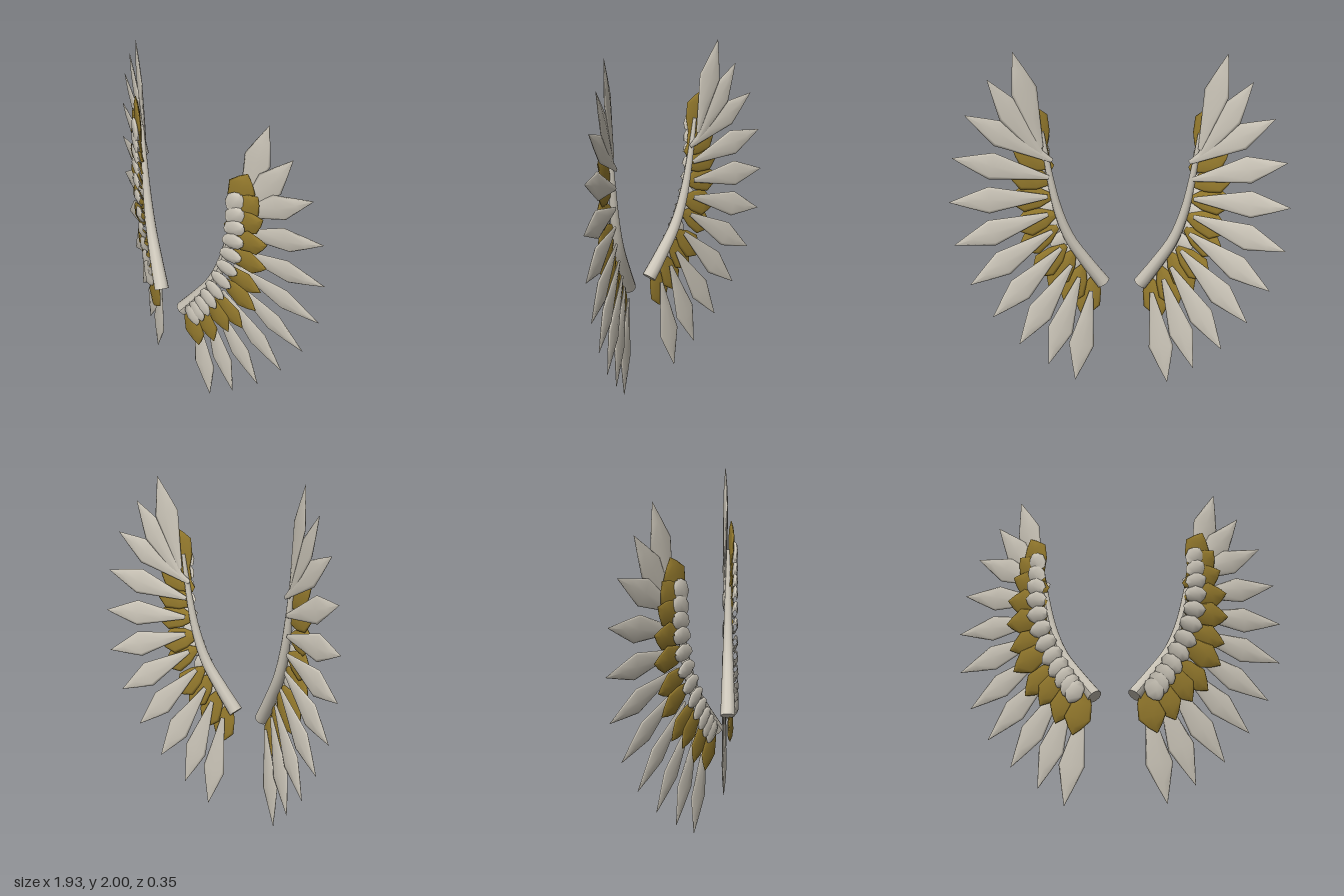
import * as THREE from 'three';

const ANGLE = 0.319; // backward sweep of each wing
const COS = Math.cos(ANGLE);

const ivory = new THREE.MeshStandardMaterial({ color: 0xcfc9bc });
ivory.name = 'ivory';
const gold = new THREE.MeshStandardMaterial({ color: 0x977c2e });
gold.name = 'gold';

// Ridged blade along +y with its tip at the origin; stations are [distance along, half width]
function bladeGeometry(length, stations, thick) {
  const section = [[1, 0], [0.86, 0.45], [0, 1], [-0.86, 0.45], [-1, 0], [-0.8, -0.35], [0, -0.8], [0.8, -0.35]];
  const n = section.length;
  const widest = Math.max(...stations.map((s) => s[1]));
  const pos = [];
  const index = [];
  for (const [t, half] of stations) {
    const depth = thick * Math.sqrt(half / widest);
    for (const [a, b] of section) pos.push(a * half, (t - 1) * length, b * depth);
  }
  for (let i = 0; i < stations.length - 1; i++) {
    for (let j = 0; j < n; j++) {
      const a = i * n + j, b = i * n + (j + 1) % n;
      index.push(a, a + n, b, b, a + n, b + n);
    }
  }
  for (let j = 1; j < n - 1; j++) index.push(0, j, j + 1);
  // section runs counter-clockwise seen from +z in the x/z plane, so turn the faces outward
  for (let k = 0; k < (stations.length - 1) * n * 6; k += 3) {
    [index[k + 1], index[k + 2]] = [index[k + 2], index[k + 1]];
  }
  const g = new THREE.BufferGeometry();
  g.setAttribute('position', new THREE.Float32BufferAttribute(pos, 3));
  g.setIndex(index);
  // make sure the winding faces outward
  const p = g.attributes.position;
  const A = new THREE.Vector3(), B = new THREE.Vector3(), C = new THREE.Vector3();
  let volume = 0;
  for (let k = 0; k < (stations.length - 1) * n * 6; k += 3) {
    A.fromBufferAttribute(p, index[k]);
    B.fromBufferAttribute(p, index[k + 1]);
    C.fromBufferAttribute(p, index[k + 2]);
    volume += A.dot(B.cross(C));
  }
  if (volume < 0) {
    for (let k = 0; k < index.length; k += 3) [index[k + 1], index[k + 2]] = [index[k + 2], index[k + 1]];
    g.setIndex(index);
  }
  g.computeVertexNormals();
  return g;
}

// Tip x, tip y and direction in degrees, from top to bottom
const feathers = [
  [0.60, 2.0, 75], [0.74, 1.85, 57], [0.865, 1.655, 31], [0.94, 1.415, 15], [0.965, 1.16, 0], [0.945, 0.905, -16],
  [0.865, 0.66, -32], [0.745, 0.45, -45], [0.60, 0.265, -57], [0.435, 0.12, -71], [0.28, 0.003, -80],
];
const coverts = [
  [0.51, 1.70, 72], [0.575, 1.585, 52], [0.61, 1.455, 30], [0.64, 1.305, 15], [0.643, 1.15, 0], [0.615, 0.975, -16],
  [0.588, 0.835, -30], [0.51, 0.67, -43], [0.42, 0.595, -55], [0.325, 0.475, -66], [0.223, 0.39, -74],
];
// Centres of the small scales
const scales = [
  [0.455, 1.525, 60], [0.46, 1.44, 48], [0.462, 1.355, 32], [0.458, 1.265, 18], [0.447, 1.165, 4], [0.425, 1.065, -10],
  [0.39, 0.965, -24], [0.35, 0.875, -36], [0.31, 0.795, -46], [0.27, 0.725, -54], [0.235, 0.67, -58], [0.205, 0.625, -62],
];

const featherGeo = bladeGeometry(0.57, [[0, 0.012], [0.3, 0.044], [0.6, 0.077], [0.8, 0.04], [1, 0.0008]], 0.017);
const covertGeo = bladeGeometry(0.27, [[0, 0.015], [0.3, 0.06], [0.64, 0.08], [0.85, 0.04], [1, 0.001]], 0.02);
const scaleGeo = bladeGeometry(0.135, [[0, 0.02], [0.22, 0.046], [0.6, 0.054], [0.86, 0.034], [1, 0.006]], 0.022);

function wing(side) {
  const group = new THREE.Group();
  group.name = side > 0 ? 'leftWing' : 'rightWing';

  function addRow(name, rows, geo, mat, depth, roll, forward) {
    rows.forEach(([x, y, deg], i) => {
      const a = THREE.MathUtils.degToRad(deg);
      const dir = new THREE.Vector3(side * Math.cos(a) / COS, Math.sin(a), 0).normalize();
      const perp = new THREE.Vector3(dir.y, -dir.x, 0);
      const mesh = new THREE.Mesh(geo, mat);
      mesh.name = name + (i + 1);
      mesh.quaternion.setFromRotationMatrix(new THREE.Matrix4().makeBasis(perp, dir, new THREE.Vector3(0, 0, 1)));
      mesh.rotateY(side * roll);
      mesh.position.set(side * x / COS, y, depth(i / (rows.length - 1))).addScaledVector(dir, forward);
      group.add(mesh);
    });
  }
  addRow('longFeather', feathers, featherGeo, ivory, () => 0, 0.1, 0);
  addRow('goldCovert', coverts, covertGeo, gold, () => 0.036, 0.14, 0);
  addRow('smallScale', scales, scaleGeo, ivory, (t) => 0.056 + 0.01 * t, 0.15, 0.06);

  // Tapered wing bone
  const path = [[0.105, 0.605], [0.2, 0.74], [0.3, 0.9], [0.365, 1.08], [0.405, 1.27], [0.43, 1.43], [0.445, 1.54]];
  const curve = new THREE.CatmullRomCurve3(path.map(([x, y]) => new THREE.Vector3(side * x / COS, y, 0.02)));
  const segs = 24, radial = 10, r0 = 0.044;
  const geo = new THREE.TubeGeometry(curve, segs, r0, radial);
  const p = geo.attributes.position;
  const v = new THREE.Vector3();
  for (let i = 0; i < p.count; i++) {
    const t = Math.floor(i / (radial + 1)) / segs;
    const c = curve.getPointAt(t);
    v.fromBufferAttribute(p, i).sub(c).multiplyScalar(1 - 0.75 * t).add(c);
    p.setXYZ(i, v.x, v.y, v.z);
  }
  geo.computeVertexNormals();
  const bone = new THREE.Mesh(geo, ivory);
  bone.name = 'wingBone';
  group.add(bone);

  // End caps of the bone
  for (const t of [0, 1]) {
    const cap = new THREE.Mesh(new THREE.CircleGeometry(r0 * (1 - 0.75 * t), radial), ivory);
    cap.name = t ? 'boneTopCap' : 'boneRootCap';
    cap.position.copy(curve.getPointAt(t));
    const out = curve.getTangentAt(t).multiplyScalar(t ? 1 : -1);
    cap.quaternion.setFromUnitVectors(new THREE.Vector3(0, 0, 1), out);
    group.add(cap);
  }

  group.rotation.y = side * ANGLE;
  group.position.z = 0.14;
  return group;
}

export function createModel() {
  const model = new THREE.Group();
  model.name = 'wings';
  model.add(wing(1), wing(-1));
  return model;
}
